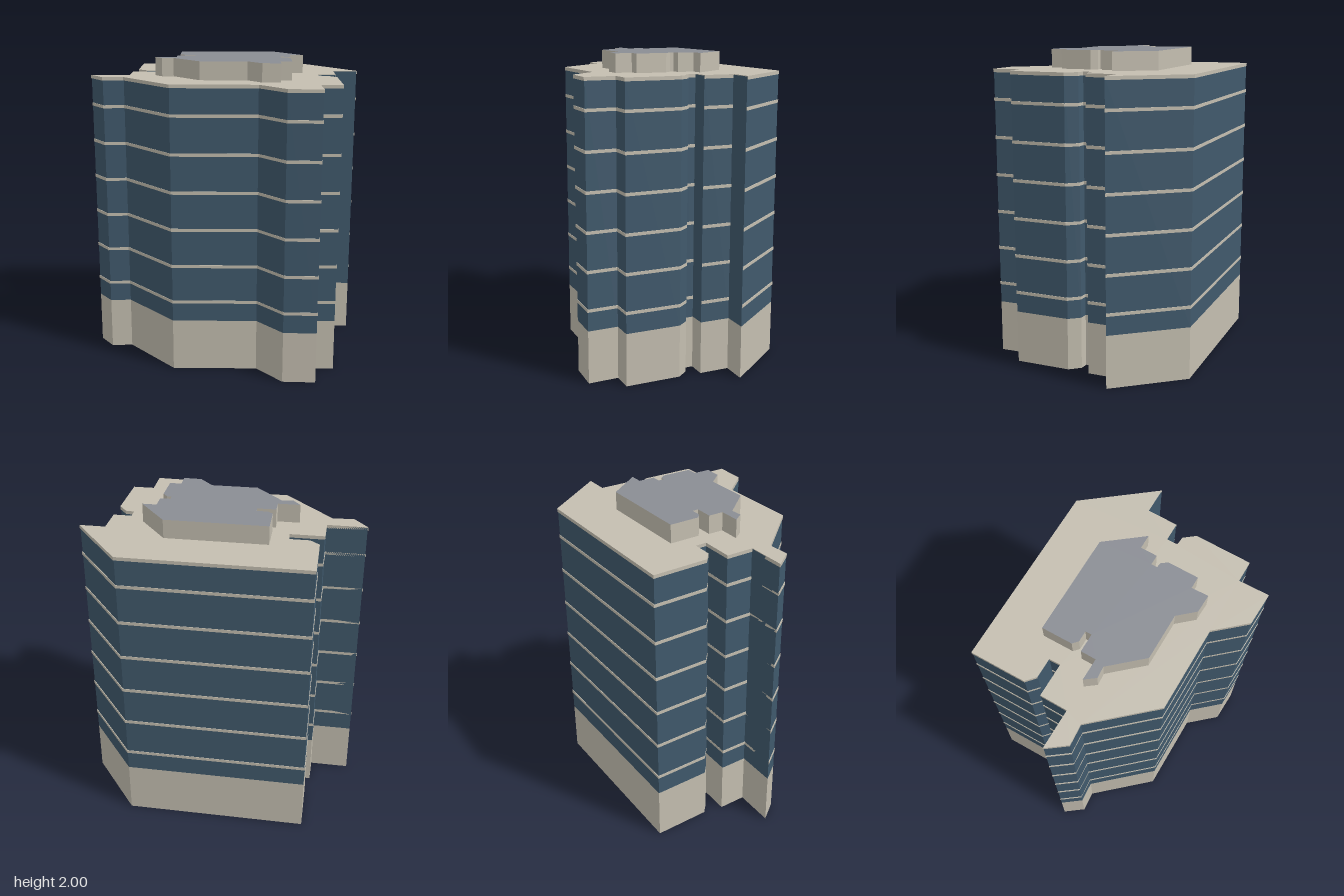
import * as THREE from 'three';

// Floor plan as [x, z] corners
const PLAN = [
  [-0.61, -0.66], [0.555, -0.66], [0.885, -0.24], [0.72, -0.24],
  [0.72, -0.045], [0.603, -0.045], [0.605, 0.025], [0.66, 0.03],
  [0.715, 0.1], [0.715, 0.46], [0.577, 0.46], [0.582, 0.657],
  [0.37, 0.65], [0.205, 0.465], [-0.34, 0.465], [-0.66, 0.11],
  [-0.795, 0.12], [-0.885, 0], [-0.63, 0], [-0.63, -0.177],
  [-0.415, -0.177], [-0.418, -0.25], [-0.545, -0.25], [-0.605, -0.303],
];

// Vertical prism over the scaled plan, between two heights
function storey(name, y0, y1, materials, scale = 1, dx = 0, dz = 0) {
  const shape = new THREE.Shape(
    PLAN.map(([x, z]) => new THREE.Vector2(x * scale + dx, -(z * scale + dz))));
  const geometry = new THREE.ExtrudeGeometry(shape, { depth: y1 - y0, bevelEnabled: false });
  geometry.rotateX(-Math.PI / 2);
  geometry.translate(0, y0, 0);
  const mesh = new THREE.Mesh(geometry, materials);
  mesh.name = name;
  return mesh;
}

export function createModel() {
  const stone = new THREE.MeshStandardMaterial({ color: 0xc4beb0 });
  stone.name = 'stone';
  const glass = new THREE.MeshStandardMaterial({ color: 0x40596c });
  glass.name = 'blue glass';
  const roofing = new THREE.MeshStandardMaterial({ color: 0x8a8d94 });
  roofing.name = 'grey roofing';

  const building = new THREE.Group();
  building.name = 'officeBuilding';

  // Plinth and glazed floors
  building.add(storey('base', 0, 0.34, stone));
  building.add(storey('glassWalls', 0.34, 1.878, glass));

  // Slim floor bands, just proud of the glass
  for (let i = 0; i < 6; i++) {
    const y = 0.471 + i * 0.2437;
    building.add(storey('floorBand' + (i + 1), y - 0.01, y + 0.01, stone, 1.005));
  }
  building.add(storey('roofSlab', 1.86, 1.882, stone, 1.005));

  // Rooftop plant room: stone walls with a grey top
  building.add(storey('plantRoom', 1.88, 2, [roofing, stone], 0.55, 0.024, 0.008));

  return building;
}
